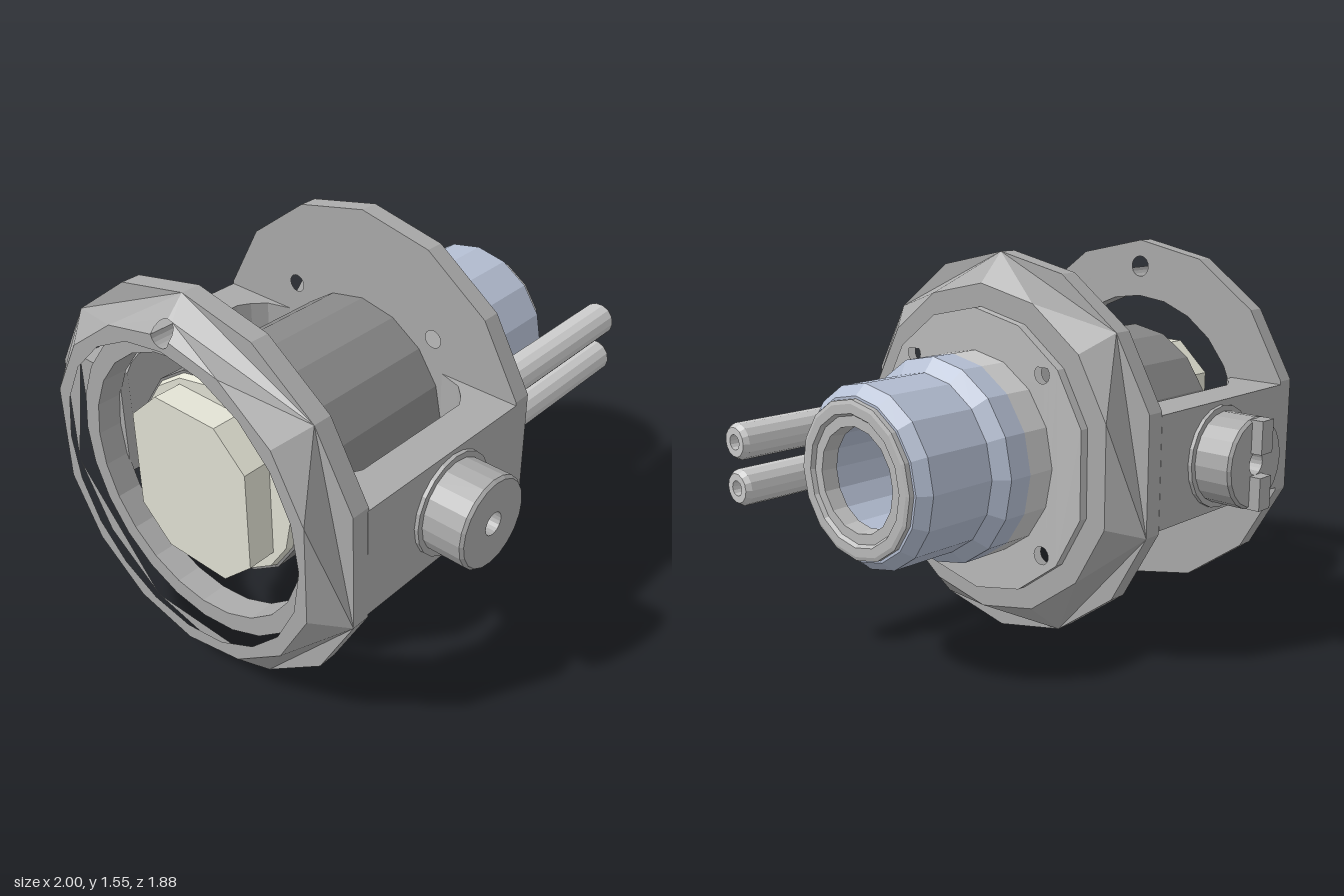
import * as THREE from 'three';

const mat = (color) => new THREE.MeshStandardMaterial({ color, flatShading: true });
const FRAME = mat(0xaaaaaa), BODY = mat(0x888888), FLANGE = mat(0xbbbbbb), PLAIN = mat(0xcccccc);
const NUT = mat(0xb4bed2), BEIGE = mat(0xe2e2d4), BLUE = mat(0x1010c0);

// Plate outline: 14 corners, clockwise from the top, with flat sides at +-z
const half = [0, 24, 48.5, 72.5, 107.5, 131.5, 156];
const ANGLES = [...half, ...half.map((a) => 180 + a)].map(THREE.MathUtils.degToRad);
const corner = (a, r) => new THREE.Vector2(Math.sin(a) * r, Math.cos(a) * r);
const outline = (r) => ANGLES.map((a) => corner(a, r));

// Corner radius of the similar outline that passes through (x, y)
function outlineRadius(x, y) {
  return Math.max(...ANGLES.map((a, i) => {
    const b = i + 1 < ANGLES.length ? ANGLES[i + 1] : Math.PI * 2;
    const mid = (a + b) / 2;
    return (x * Math.sin(mid) + y * Math.cos(mid)) / Math.cos((b - a) / 2);
  }));
}

const R_OUT = 0.775, R_BEVEL = 0.66, DEPTH = 0.185, BEVEL = 0.11;

// Bevel-edge outline whose top corner is replaced by half of a round hole
function notchedOutline(upper) {
  const pts = outline(R_BEVEL).slice(1), n = 8, r = 0.045;
  for (let i = 0; i <= n; i++) {
    const t = THREE.MathUtils.degToRad(192 + (upper ? -204 : 156) * i / n);
    pts.push(new THREE.Vector2(r * Math.cos(t), R_BEVEL + r * Math.sin(t)));
  }
  return pts;
}

function circle(x, y, r) {
  return new THREE.Path().absarc(x, y, r, 0, Math.PI * 2, true);
}

function extrude(points, holes, depth) {
  const shape = new THREE.Shape(points);
  shape.holes.push(...holes);
  return new THREE.ExtrudeGeometry(shape, { depth, bevelEnabled: false, curveSegments: 10 });
}

// Flat-sided plate with a bevelled rim on its +z end
function bevelPlate(holes, notch) {
  const inner = notch ? notchedOutline(false) : outline(R_BEVEL);
  const rimHole = notch ? notchedOutline(true) : outline(R_BEVEL);
  return [extrude(inner, holes, DEPTH), extrude(outline(R_OUT), [new THREE.Path(rimHole)], DEPTH)].map((g) => {
    const p = g.attributes.position;
    for (let i = 0; i < p.count; i++) {
      if (p.getZ(i) < DEPTH / 2) continue;
      const k = (outlineRadius(p.getX(i), p.getY(i)) - R_BEVEL) / (R_OUT - R_BEVEL);
      p.setZ(i, DEPTH - BEVEL * THREE.MathUtils.clamp(k, 0, 1));
    }
    g.computeVertexNormals();
    return g;
  });
}

// Turned part along +x from [x, radius] pairs
function turned(profile, sides = 16) {
  const g = new THREE.LatheGeometry(profile.map(([x, r]) => new THREE.Vector2(r, x)), sides);
  return g.rotateZ(-Math.PI / 2);
}

export function createModel() {
  const model = new THREE.Group();
  const core = new THREE.Group();
  core.name = 'assembly';
  core.position.set(0, 0.78, 0.01);
  model.add(core);
  const add = (name, geo, material, parent = core) => {
    const m = new THREE.Mesh(geo, material);
    m.name = name;
    parent.add(m);
    return m;
  };

  // Mounting plate and flange, with bolt holes and a tube passage
  const bolts = () => {
    const list = [circle(-0.5, 0.09, 0.03)];
    for (const x of [-0.352, 0.352]) for (const y of [-0.352, 0.352]) list.push(circle(x, y, 0.036));
    return list;
  };
  for (const g of bevelPlate(bolts(), false)) add('mountingPlate', g.rotateY(Math.PI / 2), FRAME);
  add('flange', extrude(outline(0.57), bolts(), 0.04).rotateY(Math.PI / 2).translate(0.182, 0, 0), FLANGE);

  // Open end ring with a stepped bore and a hole through the top
  for (const g of bevelPlate([circle(0, 0, 0.6)], true)) {
    add('endRing', g.rotateY(-Math.PI / 2).translate(-0.815, 0, 0), FRAME);
  }
  add('endRingStep', turned([[-0.92, 0.53], [-0.92, 0.605], [-0.815, 0.605], [-0.815, 0.53], [-0.92, 0.53]], 24), FRAME);

  // Side arms with filleted inner corners
  const armPoints = [[-0.82, 0.74], [0, 0.74], [0, 0.4], [-0.03, 0.5], [-0.08, 0.55], [-0.13, 0.58],
    [-0.66, 0.58], [-0.72, 0.55], [-0.78, 0.5], [-0.82, 0.5]];
  for (const s of [1, -1]) {
    const pts = armPoints.map(([x, z]) => new THREE.Vector2(x, s * z));
    add(s > 0 ? 'leftArm' : 'rightArm', extrude(pts, [], 0.44).rotateX(Math.PI / 2).translate(0, 0.22, 0), FRAME);
  }

  // Body with its end cap and flat-sided boss
  add('body', turned([[-0.79, 0], [-0.79, 0.405], [0.01, 0.405]]), BODY);
  add('endCap', turned([[-0.815, 0], [-0.815, 0.385], [-0.79, 0.395], [-0.79, 0]]), BEIGE);
  const boss = [[0.29, 0.2], [0.15, 0.33], [-0.15, 0.33], [-0.29, 0.2], [-0.29, -0.2], [-0.15, -0.33], [0.15, -0.33], [0.29, -0.2]];
  add('endBoss', extrude(boss.map(([x, y]) => new THREE.Vector2(x, y)), [], 0.12)
    .rotateY(-Math.PI / 2).translate(-0.81, 0, 0), BEIGE);

  // Coupling: collar, nut, lip, and the core seen down the bore
  add('collar', turned([[0.22, 0.405], [0.34, 0.405], [0.34, 0.2]]), PLAIN);
  add('couplingNut', turned([[0.34, 0.2], [0.34, 0.405], [0.44, 0.405], [0.485, 0.35], [0.77, 0.35],
    [0.815, 0.31], [0.815, 0.2], [0.22, 0.2]]), NUT);
  add('couplingLip', turned([[0.81, 0.3], [0.835, 0.3], [0.84, 0.285], [0.84, 0.25], [0.825, 0.24],
    [0.825, 0.2], [0.76, 0.195]]), FLANGE);
  add('innerSeal', turned([[0.22, 0.2], [0.3, 0.2], [0.3, 0]]), BLUE);
  add('corePin', turned([[0.3, 0.05], [0.32, 0.05], [0.32, 0]], 12), BEIGE);

  // Pair of open tubes
  for (const y of [0.09, -0.09]) {
    const tube = add('tube', turned([[0.2, 0.03], [0.2, 0.072], [0.98, 0.072], [1, 0.058], [1, 0.03], [0.2, 0.03]], 14), PLAIN);
    tube.position.set(0, y, 0.5);
  }

  // Pivot knobs on both arms; local +x points outward
  for (const s of [1, -1]) {
    const knob = new THREE.Group();
    knob.name = s > 0 ? 'leftPivot' : 'rightPivot';
    knob.position.set(-0.375, 0, s * 0.74);
    knob.rotation.y = -s * Math.PI / 2;
    core.add(knob);
    const h = s > 0 ? 0.185 : 0.17;
    add('washer', turned([[0, 0.203], [0.016, 0.203], [0.016, 0.17]], 20), FRAME, knob);
    add('knob', turned([[0, 0.18], [h - 0.012, 0.18], [h, 0.17], [h, 0.045], [h - 0.06, 0.045], [h - 0.06, 0]], 20), FRAME, knob);
    if (s > 0) continue;
    for (const y of [0.11, -0.11]) {
      add('key', new THREE.BoxGeometry(0.06, 0.13, 0.075), FRAME, knob).position.set(h + 0.015, y, 0);
    }
  }
  return model;
}
